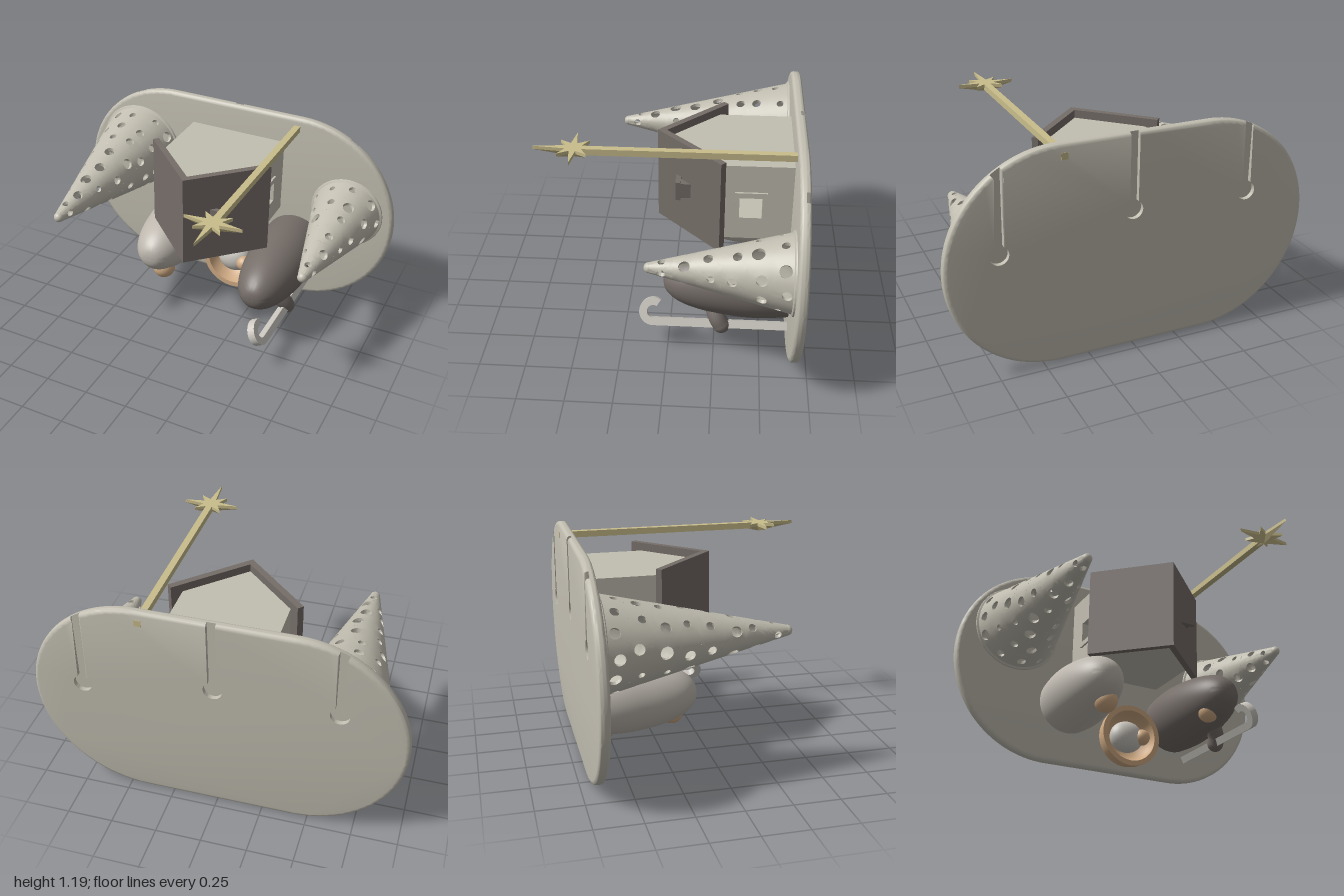
import * as THREE from 'three';
import { toCreasedNormals, mergeGeometries } from 'three/addons/utils/BufferGeometryUtils.js';

const mat = (name, color, side = THREE.FrontSide) => {
  const m = new THREE.MeshStandardMaterial({ color, side });
  m.name = name;
  return m;
};
const BACK = -0.7, FRONT = -0.645, R = 0.595, CORE = 0.405;

export function createModel() {
  const stone = mat('pale stone', 0xc2beb1);
  const dark = mat('dark brown grey', 0x756d68);
  const robe = mat('pale robe', 0xbdb7ae);
  const skin = mat('tan', 0xd0ab84);
  const gold = mat('pale gold', 0xc9bd8c);
  const cloth = mat('cloth', 0xcbc7bf);
  const model = new THREE.Group();

  const add = (name, geo, material, x = 0, y = 0, z = 0, parent = model) => {
    const m = new THREE.Mesh(geo, material);
    m.name = name;
    m.position.set(x, y, z);
    parent.add(m);
    return m;
  };
  // box given by its minimum and maximum corners
  const box = (name, material, a, b) => add(name,
    new THREE.BoxGeometry(b[0] - a[0], b[1] - a[1], b[2] - a[2]), material,
    (a[0] + b[0]) / 2, (a[1] + b[1]) / 2, (a[2] + b[2]) / 2);
  const poly = pts => new THREE.Shape(pts.map(p => new THREE.Vector2(p[0], p[1])));
  const extrude = (shape, depth, steps = 1) =>
    new THREE.ExtrudeGeometry(shape, { depth, steps, bevelEnabled: false, curveSegments: 24 });
  // lathe whose axis points to the front
  const lathe = pts => toCreasedNormals(new THREE.LatheGeometry(
    pts.map(p => new THREE.Vector2(p[0], p[1])), 56).rotateX(Math.PI / 2), 0.7);

  // Back plate: rounded stadium, keyhole slots in the rear layer
  function plateLayer(z0, z1, slots) {
    const lower = [], W = 0.024;
    let upper = [];
    const N = 40;
    for (let i = 0; i <= N; i++) {
      const a = (i / N) * Math.PI / 2;
      upper.push([CORE + R * Math.cos(a), R + R * Math.sin(a)]);
      lower.push([-CORE - R * Math.cos(a), R - R * Math.sin(a)]);
    }
    for (let i = 0; i <= N; i++) {
      const a = (i / N) * Math.PI / 2;
      upper.push([-CORE - R * Math.sin(a), R + R * Math.cos(a)]);
      lower.push([CORE + R * Math.sin(a), R - R * Math.cos(a)]);
    }
    lower.shift();
    lower.pop();
    const edge = x => R + Math.sqrt(R * R - Math.max(0, Math.abs(x) - CORE) ** 2);
    for (const [x, y] of slots) {
      upper = upper.filter(p => p[1] < R + 0.01 || Math.abs(p[0] - x) > W);
      const key = [[x + W, edge(x + W)]], a0 = Math.acos(W / 0.05);
      for (let i = 0; i <= 24; i++) {
        const a = a0 - (i / 24) * (Math.PI + 2 * a0);
        key.push([x + 0.05 * Math.cos(a), y + 0.05 * Math.sin(a)]);
      }
      key.push([x - W, edge(x - W)]);
      upper.splice(upper.findIndex(p => p[0] < x - W), 0, ...key);
    }
    const geo = extrude(poly([...upper, ...lower]), z1 - z0, 5).translate(0, 0, z0);
    const p = geo.attributes.position, r = 0.02, mid = (BACK + FRONT) / 2, half = (FRONT - BACK) / 2;
    for (let i = 0; i < p.count; i++) {
      const x = p.getX(i), y = p.getY(i), cx = THREE.MathUtils.clamp(x, -CORE, CORE);
      const d = Math.hypot(x - cx, y - R);
      if (d < R - 0.004) continue;
      const k = Math.min(r, Math.max(0, Math.abs(p.getZ(i) - mid) - half + r));
      const s = 1 - (r - Math.sqrt(r * r - k * k)) / d;
      p.setXY(i, cx + (x - cx) * s, R + (y - R) * s);
    }
    return toCreasedNormals(geo, 0.75);
  }
  add('plateFront', plateLayer(-0.675, FRONT, []), stone);
  add('plateBack', plateLayer(BACK, -0.675, [[-0.64, 0.77], [0.01, 0.78], [0.72, 0.67]]), stone);

  // Hollow cone trees: every cell of the wall carries one round hole
  function tree(name, x, y, r, h, rows, seed) {
    const rnd = () => (seed = (seed * 16807) % 2147483647) / 2147483647;
    const TIP = 0.028, L = h - TIP, T = 0.018, K = 32;
    const rad = v => r + (TIP - r) * v / L;
    const at = (a, v, t) => {
      const q = Math.max(0.004, rad(v) - t);
      return [q * Math.cos(a), q * Math.sin(a), v];
    };
    const pos = [], dv = L / rows / 2;
    for (let i = 0; i < rows; i++) {
      const vc = (2 * i + 1) * dv, n = Math.max(4, Math.round(2 * Math.PI * rad(vc) / 0.13));
      const da = Math.PI / n, arc = da * rad(vc), off = rnd() * 6;
      for (let j = 0; j < n; j++) {
        const ac = off + 2 * da * j, lim = Math.min(arc, dv);
        const hole = Math.min(0.016 + 0.018 * rnd(), lim * 0.6);
        const ha = ac + (rnd() - 0.5) * (lim - hole) / rad(vc);
        const hv = vc + (rnd() - 0.5) * (dv - hole);
        // rings run from the cell border to the hole, through the wall and back
        const rings = [[1, 0], [0.5, 0], [0, 0], [0, T], [1, T]].map(([f, t]) => {
          const ring = [];
          for (let k = 0; k <= K; k++) {
            const th = (k / K) * Math.PI * 2, c = Math.cos(th), s = Math.sin(th);
            const m = 1 / Math.max(Math.abs(c), Math.abs(s));
            ring.push(at(
              THREE.MathUtils.lerp(ha + hole * c / rad(vc), ac + da * c * m, f),
              THREE.MathUtils.lerp(hv + hole * s, vc + dv * s * m, f), t));
          }
          return ring;
        });
        for (let q = 0; q < 4; q++) for (let k = 0; k < K; k++) {
          const [A, B, C, D] = [rings[q][k], rings[q][k + 1], rings[q + 1][k + 1], rings[q + 1][k]];
          pos.push(...A, ...B, ...C, ...A, ...C, ...D);
        }
      }
    }
    const geo = new THREE.BufferGeometry();
    geo.setAttribute('position', new THREE.Float32BufferAttribute(pos, 3));
    const g = new THREE.Group();
    g.name = name;
    g.position.set(x, y, FRONT);
    model.add(g);
    add(name + 'Wall', toCreasedNormals(geo, 0.7), stone, 0, 0, 0, g);
    add(name + 'Tip', new THREE.SphereGeometry(TIP, 24, 16), stone, 0, 0, L, g);
    add(name + 'Foot', lathe([[r + 0.01, 0], [r + 0.008, 0.008], [r - 0.005, 0.014]]), stone, 0, 0, 0, g);
  }
  tree('largeTree', -0.635, 0.79, 0.252, 0.99, 8, 71);
  tree('smallTree', 0.72, 0.66, 0.206, 0.75, 6, 133);

  // House lying on its back: gable ends, side walls with windows, roof
  const gable = poly([[-0.275, 0.645], [0.31, 0.645], [0.31, 0.24], [0.0175, -0.045], [-0.275, 0.24]]);
  for (const y of [0.585, 0.995])
    add('gableWall', extrude(gable, 0.03).rotateX(-Math.PI / 2), stone, 0, y, 0);
  const rect = (z0, z1, y0, y1) => [[z0, y0], [z1, y0], [z1, y1], [z0, y1]];
  const holed = (outer, inner) => {
    const s = poly(outer);
    s.holes.push(poly(inner));
    return s;
  };
  const opening = rect(-0.485, -0.365, 0.72, 0.84);
  for (const [x, sign] of [[0.31, 1], [-0.275, -1]]) {
    const wall = extrude(holed(rect(-0.645, -0.24, 0.59, 1.02), opening), 0.03).rotateY(-Math.PI / 2);
    add('sideWall', wall, stone, sign > 0 ? x : x + 0.03);
    const frame = extrude(holed(rect(-0.51, -0.34, 0.69, 0.87), opening), 0.012).rotateY(-Math.PI / 2);
    add('windowFrame', frame, stone, sign > 0 ? x + 0.012 : x);
  }
  const roof = poly([[0.0175, -0.085], [0.383, 0.265], [0.358, 0.29], [0.0175, -0.035],
    [-0.323, 0.29], [-0.348, 0.265]].reverse());
  add('roof', extrude(roof, 0.53).rotateX(-Math.PI / 2), dark, 0, 0.54, 0);
  box('chimney', dark, [0.14, 0.765, -0.14], [0.215, 0.85, -0.03]);
  box('chimneyCap', dark, [0.13, 0.755, -0.05], [0.225, 0.862, -0.022]);

  // Two robed figures growing out of the plate
  const figure = (name, x, len, material) => {
    const prof = [[0.18, 0], [0.19, 0.12], [0.19, 0.22], [0.18, 0.33], [0.165, 0.43], [0.143, 0.52],
      [0.115, 0.59], [0.08, 0.64], [0.045, 0.666], [0, 0.675]];
    const curve = new THREE.SplineCurve(prof.map(p => new THREE.Vector2(p[0], p[1] * len / 0.675)));
    add(name, lathe(curve.getPoints(36).map(p => [Math.max(0, p.x), p.y])), material, x, 0.37, FRONT);
  };
  figure('paleRobe', -0.29, 0.575, robe);
  figure('darkRobe', 0.415, 0.675, dark);
  add('paleFigureFace', new THREE.SphereGeometry(0.068, 32, 20), skin, -0.255, 0.25, -0.2);
  add('darkFigureFace', new THREE.SphereGeometry(0.064, 32, 20), skin, 0.372, 0.28, -0.13);

  // Arm holding the staff
  const arm = new THREE.CatmullRomCurve3([[0.44, 0.29, -0.24], [0.48, 0.24, -0.25],
    [0.51, 0.19, -0.27], [0.517, 0.155, -0.29]].map(p => new THREE.Vector3(...p)));
  add('arm', new THREE.TubeGeometry(arm, 20, 0.048, 20), dark);
  add('hand', new THREE.SphereGeometry(0.048, 24, 16), dark, 0.517, 0.155, -0.29);

  // Staff: flat bar ending in a hook, tilted towards the figure
  const w = 0.021, hr = 0.055, end = 0.08, staff = new THREE.Shape();
  staff.moveTo(FRONT, -w);
  staff.lineTo(end, -w);
  staff.absarc(end, hr, hr + w, -Math.PI / 2, Math.PI * 0.68, false);
  staff.absarc(end, hr, hr - w, Math.PI * 0.68, -Math.PI / 2, true);
  staff.lineTo(FRONT, w);
  const d = new THREE.Vector3(-0.48, 0.877, 0), f = new THREE.Vector3(0, 0, 1);
  const staffGeo = extrude(staff, 0.044).translate(0, 0, -0.022)
    .applyMatrix4(new THREE.Matrix4().makeBasis(f, d, f.clone().cross(d)));
  add('staff', toCreasedNormals(staffGeo, 0.6), cloth, 0.515, 0.158, 0);

  // Bowl cradle with the baby
  add('cradle', lathe([[0.125, 0], [0.15, 0.022], [0.17, 0.055], [0.18, 0.09], [0.186, 0.145],
    [0.155, 0.145], [0.145, 0.09], [0.12, 0.05], [0.07, 0.025], [0, 0.018]]), skin, 0.065, 0.195, FRONT);
  add('babyBody', new THREE.SphereGeometry(0.1, 32, 20).scale(1.05, 0.95, 0.75), cloth, 0.06, 0.2, -0.56);
  add('babyHead', new THREE.SphereGeometry(0.048, 28, 18), skin, 0.142, 0.198, -0.515);

  // Star on a beam: flat above, faceted point below
  box('starBeam', gold, [0.363, 1.11, -0.702], [0.4, 1.145, 0.46]);
  const pts = [];
  for (let i = 0; i < 16; i++) {
    const a = (i / 16) * Math.PI * 2;
    const r = i % 2 ? 0.045 : i % 4 ? 0.105 : i === 12 ? 0.21 : 0.157;
    pts.push([r * Math.cos(a), r * Math.sin(a)]);
  }
  const tri = [];
  pts.forEach((p, i) => {
    const q = pts[(i + 1) % 16];
    tri.push(p[0], 0, -p[1], 0, -0.035, 0, q[0], 0, -q[1]);
  });
  const point = new THREE.BufferGeometry();
  point.setAttribute('position', new THREE.Float32BufferAttribute(tri, 3));
  point.computeVertexNormals();
  const slab = extrude(poly(pts), 0.018).rotateX(-Math.PI / 2).toNonIndexed();
  slab.deleteAttribute('uv');
  add('star', mergeGeometries([slab, point]), gold, 0.38, 1.127, 0.485);

  return model;
}
